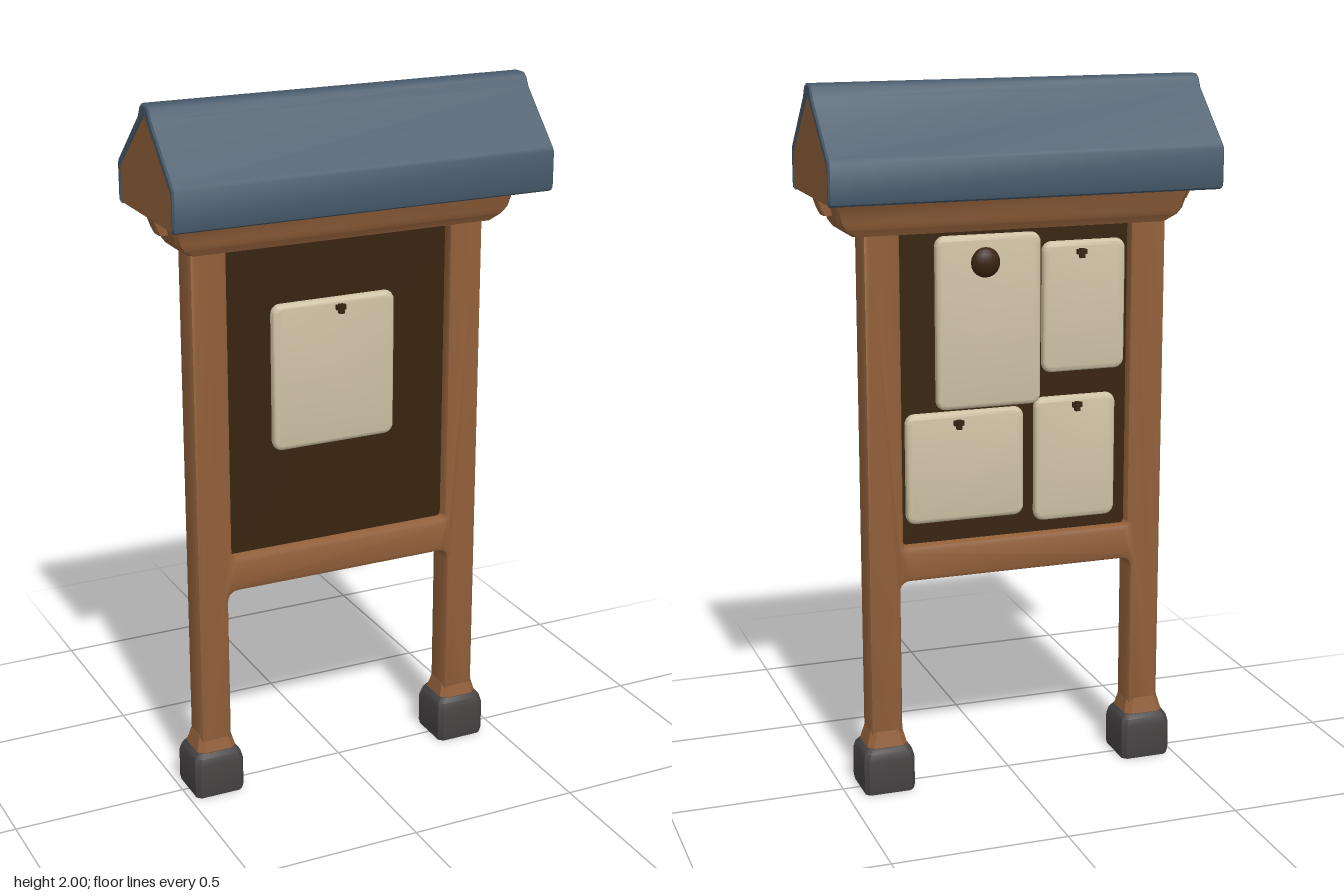
import * as THREE from 'three';
import { toCreasedNormals } from 'three/addons/utils/BufferGeometryUtils.js';

const material = (name, color) => {
  const m = new THREE.MeshStandardMaterial({ color });
  m.name = name;
  return m;
};

// Stack of chamfered rectangles: each level is [y, halfWidth, halfDepth, chamfer]
function loft(levels) {
  const pos = [], idx = [];
  for (const [y, a, b, c] of levels) {
    const ring = [[a, -b + c], [a, b - c], [a - c, b], [c - a, b],
      [-a, b - c], [-a, c - b], [c - a, -b], [a - c, -b]];
    for (const [x, z] of ring) pos.push(x, y, z);
  }
  for (let l = 0; l < levels.length - 1; l++) {
    for (let i = 0; i < 8; i++) {
      const p = l * 8 + i, q = l * 8 + (i + 1) % 8;
      idx.push(p, p + 8, q, q, p + 8, q + 8);
    }
  }
  const top = (levels.length - 1) * 8;
  for (let i = 1; i < 7; i++) idx.push(0, i, i + 1, top, top + i + 1, top + i);
  const g = new THREE.BufferGeometry();
  g.setAttribute('position', new THREE.Float32BufferAttribute(pos, 3));
  g.setIndex(idx);
  return toCreasedNormals(g, 0.7);
}

// Extrusion with inset bevels, centred on its depth
function slab(shape, depth, bevel, segments = 2) {
  const g = new THREE.ExtrudeGeometry(shape, {
    depth: depth - 2 * bevel, bevelEnabled: true, bevelThickness: bevel,
    bevelSize: bevel, bevelOffset: -bevel, bevelSegments: segments, curveSegments: 5,
  });
  g.translate(0, 0, bevel - depth / 2);
  return toCreasedNormals(g, 0.7);
}

function roundedRect(x0, y0, x1, y1, r, Type = THREE.Shape) {
  const s = new Type();
  s.absarc(x1 - r, y0 + r, r, -Math.PI / 2, 0);
  s.absarc(x1 - r, y1 - r, r, 0, Math.PI / 2);
  s.absarc(x0 + r, y1 - r, r, Math.PI / 2, Math.PI);
  s.absarc(x0 + r, y0 + r, r, Math.PI, Math.PI * 1.5);
  s.closePath();
  return s;
}

const polygon = (pts) => new THREE.Shape(pts.map(([x, y]) => new THREE.Vector2(x, y)));

export function createModel() {
  const wood = material('wood', 0x92603a);
  const roofBlue = material('roof blue', 0x475a6b);
  const cork = material('dark board', 0x38240f);
  const paper = material('paper', 0xd0c3a6);
  const stone = material('foot grey', 0x464343);

  const model = new THREE.Group();
  model.name = 'noticeBoard';
  const add = (name, geometry, mat, x = 0, y = 0, z = 0) => {
    const mesh = new THREE.Mesh(geometry, mat);
    mesh.name = name;
    mesh.position.set(x, y, z);
    model.add(mesh);
    return mesh;
  };

  // Two posts and the lower rail in one piece, with an opening for the board
  const frame = new THREE.Shape();
  frame.moveTo(-0.455, 0.1);
  frame.lineTo(-0.36, 0.1);
  frame.lineTo(-0.36, 0.585);
  frame.quadraticCurveTo(-0.36, 0.615, -0.33, 0.615);
  frame.lineTo(0.3, 0.615);
  frame.quadraticCurveTo(0.33, 0.615, 0.33, 0.585);
  frame.lineTo(0.33, 0.1);
  frame.lineTo(0.425, 0.1);
  frame.lineTo(0.425, 1.66);
  frame.lineTo(-0.455, 1.66);
  frame.closePath();
  frame.holes.push(roundedRect(-0.347, 0.72, 0.32, 1.605, 0.012, THREE.Path));
  add('frame', slab(frame, 0.095, 0.016), wood, 0, 0, 0.002);

  add('board', new THREE.BoxGeometry(0.7, 0.92, 0.036), cork, -0.014, 1.16, 0);

  // Feet with flared collars above them
  for (const x of [-0.409, 0.378]) {
    add('foot', loft([[0, 0.071, 0.071, 0.012], [0.015, 0.074, 0.074, 0.012],
      [0.1, 0.074, 0.073, 0.012], [0.122, 0.069, 0.068, 0.014], [0.135, 0.06, 0.06, 0.016]]), stone, x);
    add('collar', loft([[0.125, 0.06, 0.06, 0.016], [0.145, 0.056, 0.055, 0.016],
      [0.18, 0.047, 0.047, 0.016]]), wood, x);
  }

  // Flared beam carrying the roof, with a small corbel at each end
  add('beam', loft([[1.598, 0.452, 0.05, 0.01], [1.617, 0.482, 0.06, 0.01],
    [1.635, 0.495, 0.067, 0.01], [1.685, 0.51, 0.074, 0.01], [1.705, 0.515, 0.092, 0.01]]), wood);
  for (const side of [-1, 1]) {
    add('corbel', loft([[1.655, 0.02, 0.022, 0.004], [1.675, 0.03, 0.024, 0.004],
      [1.705, 0.04, 0.026, 0.004]]), wood, side * 0.505);
  }

  // Gable body under a thin roof shell; profiles run across the depth
  const gable = polygon([[-0.18, 1.702], [0.18, 1.702], [0.19, 1.72], [0.19, 1.803],
    [0.022, 1.968], [0.006, 1.985], [-0.026, 1.985], [-0.042, 1.968], [-0.19, 1.803], [-0.19, 1.72]]);
  const shell = polygon([[0.185, 1.7], [0.197, 1.706], [0.2, 1.72], [0.2, 1.812], [0.192, 1.824],
    [0.034, 1.966], [0.02, 1.992], [0.01, 2], [-0.03, 2], [-0.04, 1.992], [-0.054, 1.966],
    [-0.192, 1.824], [-0.2, 1.812], [-0.2, 1.72], [-0.197, 1.706], [-0.185, 1.7],
    [-0.183, 1.72], [-0.183, 1.8], [-0.01, 1.97], [0.183, 1.8], [0.183, 1.72]]);
  add('gable', slab(gable, 1.104, 0.004, 1), wood).rotation.y = Math.PI / 2;
  add('roof', slab(shell, 1.11, 0.005, 1), roofBlue).rotation.y = Math.PI / 2;

  // Pinned sheets: x0, y0, x1, y1, face (+1 front, -1 back), pin x, pin y
  const sheets = [
    [-0.215, 1.01, 0.155, 1.43, 1, -0.015, 1.405],
    [-0.085, 1.1, 0.22, 1.585, -1],
    [-0.335, 1.185, -0.09, 1.555, -1, -0.2, 1.525],
    [-0.035, 0.78, 0.31, 1.095, -1, 0.16, 1.065],
    [-0.31, 0.755, -0.067, 1.115, -1, -0.19, 1.09],
  ];
  for (const [x0, y0, x1, y1, face, px, py] of sheets) {
    add('sheet', slab(roundedRect(x0, y0, x1, y1, 0.028), 0.032, 0.014, 3), paper, 0, 0, face * 0.026);
    if (px === undefined) continue;
    add('pin', new THREE.BoxGeometry(0.028, 0.014, 0.012), cork, px, py, face * 0.047);
    add('pinTip', new THREE.BoxGeometry(0.014, 0.026, 0.014), cork, px, py - 0.004, face * 0.05);
  }

  // Round knob on the tall back sheet
  add('knob', new THREE.SphereGeometry(0.042, 16, 10), cork, 0.08, 1.51, -0.045).scale.z = 0.6;

  return model;
}
